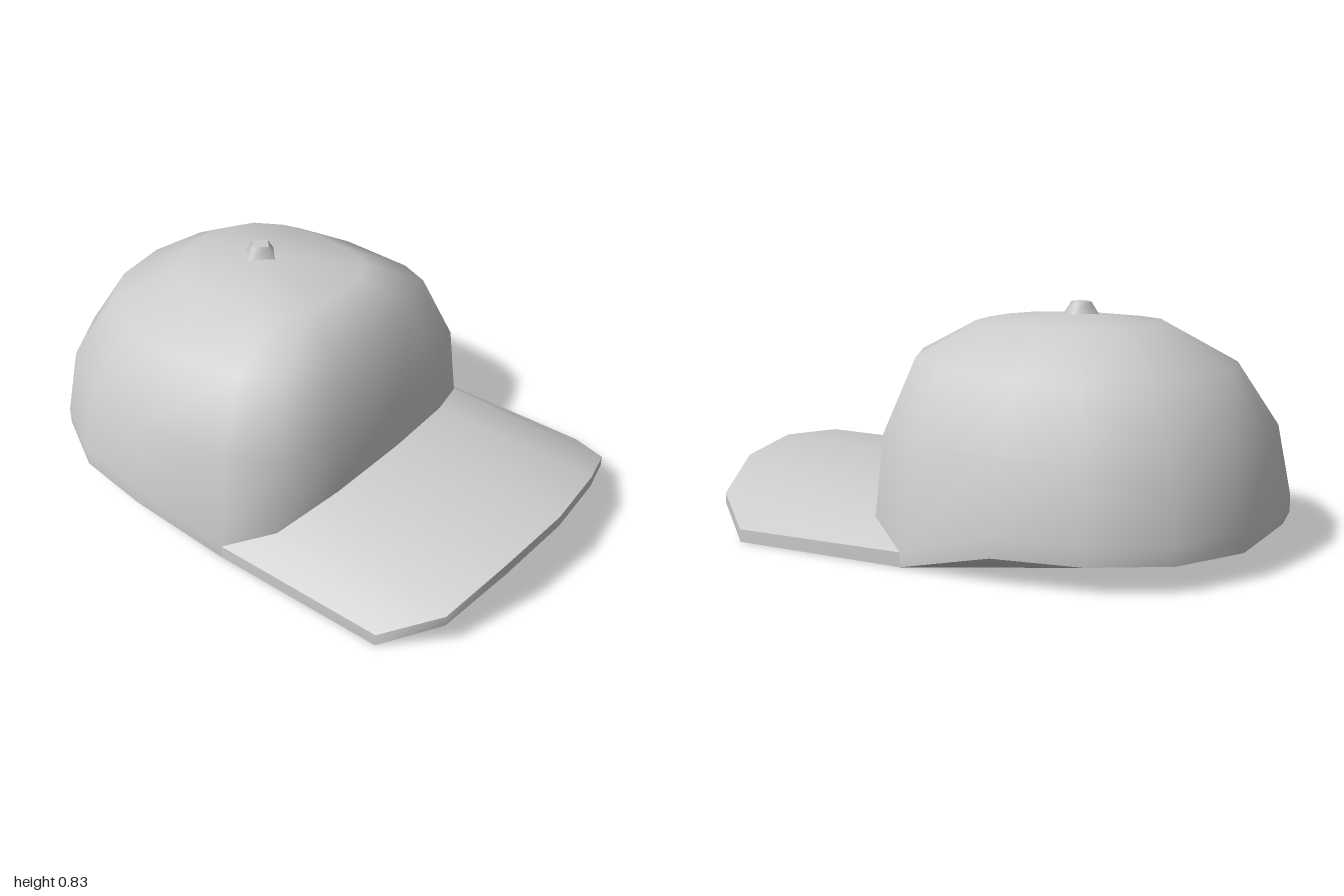
import * as THREE from 'three';
import { mergeGeometries, mergeVertices } from 'three/addons/utils/BufferGeometryUtils.js';

const CZ = -0.27; // crown axis

// Skin between rows of [x, y, z] points
function loft(rows) {
  const n = rows[0].length, idx = [];
  for (let r = 0; r < rows.length - 1; r++) {
    for (let c = 0; c < n - 1; c++) {
      const a = r * n + c, d = a + n;
      idx.push(a, a + 1, d + 1, a, d + 1, d);
    }
  }
  const g = new THREE.BufferGeometry();
  g.setAttribute('position', new THREE.Float32BufferAttribute(rows.flat(2), 3));
  g.setIndex(idx);
  return g;
}

function smooth(...parts) {
  const g = mergeVertices(mergeGeometries(parts), 1e-4);
  g.computeVertexNormals();
  return g;
}

// Mirror a half row (centre first) into a full row running from -x to +x
const mirrorRow = (half) => [
  ...half.slice(1).reverse().map(([x, y, z]) => [-x, y, z]),
  ...half,
];

// Unit crown outline, front centre -> side -> back centre
const OUTLINE = [
  [0, 1], [0.45, 0.96], [0.78, 0.83], [0.935, 0.57], [1, 0],
  [0.935, -0.41], [0.74, -0.74], [0.406, -0.935], [0, -1],
];

// One half ring of the crown: half width, front depth, back depth, height per column
const ring = (w, f, b, yAt) => OUTLINE.map(([x, z], i) =>
  [x * w, yAt(i), CZ + z * (z > 0 ? f : b)]);

export function createModel() {
  const group = new THREE.Group();
  const material = new THREE.MeshStandardMaterial({ color: 0xcccccc, side: THREE.DoubleSide });
  const add = (name, geometry) => {
    const mesh = new THREE.Mesh(geometry, material);
    mesh.name = name;
    group.add(mesh);
    return mesh;
  };

  // Crown: rings from the lower rim to the apex, with a steeper front panel
  const rimY = [0.18, 0.155, 0.085, 0, 0.09, 0.09, 0.09, 0.09, 0.12];
  const bandY = [0.22, 0.197, 0.125, 0.05, 0.15, 0.15, 0.15, 0.15, 0.15];
  const lift = [0.04, 0.04, 0.03, 0.01];
  const rim = ring(0.69, 0.615, 0.73, (i) => rimY[i]);
  const band = ring(0.69, 0.615, 0.73, (i) => bandY[i]);
  const rings = [
    rim,
    band,
    ring(0.645, 0.6, 0.68, () => 0.4),
    ring(0.51, 0.52, 0.535, (i) => 0.62 + (lift[i] || 0)),
    ring(0.28, 0.36, 0.29, () => 0.755),
    ring(0, 0, 0, () => 0.79),
  ];
  add('crown', smooth(loft(rings.map(mirrorRow))));

  // Brim: arched sheet from the crown front to a rounded front edge
  const edgeTop = [[0, 0.24, 1], [0.28, 0.215, 0.97], [0.51, 0.125, 0.9], [0.645, 0.045, 0.73]];
  const edgeLow = [[0, 0.2, 1], [0.28, 0.173, 0.97], [0.51, 0.088, 0.9], [0.645, 0, 0.73]];
  const joinTop = band.slice(0, 4), joinLow = rim.slice(0, 4);
  add('brimTop', smooth(loft([mirrorRow(edgeTop), mirrorRow(joinTop)])));
  add('brimEdge', smooth(loft([
    mirrorRow([...edgeLow, joinLow[3]]),
    mirrorRow([...edgeTop, joinTop[3]]),
  ])));

  // Underside: brim bottom running on into the closed base of the crown
  const front = rim.slice(0, 5), back = rim.slice(4).reverse();
  add('underside', smooth(
    loft([mirrorRow(joinLow), mirrorRow(edgeLow)]),
    loft([mirrorRow(back), mirrorRow(front)]),
  ));

  // Button on top
  const button = add('topButton', new THREE.CylinderGeometry(0.037, 0.068, 0.045, 4));
  button.position.set(0, 0.803, CZ);

  return group;
}
